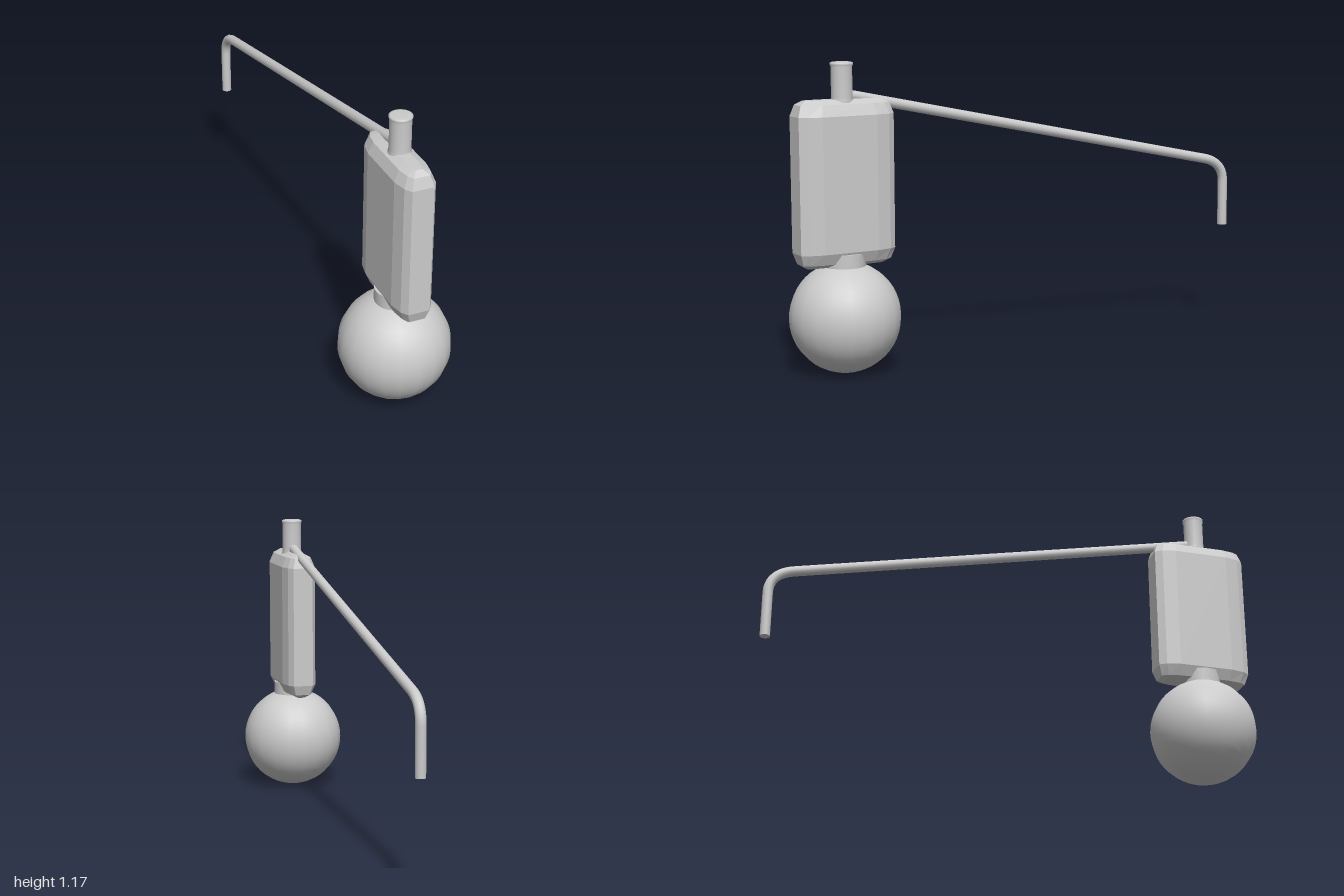
import * as THREE from 'three';

const Z = 0.788; // z of the bulb, body and top tube axis

// Faceted case: 12-sided outlines stacked in layers, closed at both ends
function bodyGeometry() {
  const quarter = [[0.072, 0.11], [0.06, 0.165], [0.042, 0.192]];
  const mirror = (sx, sz) => quarter.map(([x, z]) => [x * sx, z * sz]);
  const outline = [
    ...mirror(1, 1), ...mirror(-1, 1).reverse(),
    ...mirror(-1, -1), ...mirror(1, -1).reverse(),
  ];
  const half = [[0.313, 0.3, 0.8], [0.297, 0.74, 0.93], [0.255, 1, 1]];
  const layers = [...half.map(([y, a, b]) => [-y, a, b]), ...half.slice().reverse()];
  const n = outline.length, pos = [], idx = [];
  for (const [y, sx, sz] of layers) for (const [x, z] of outline) pos.push(x * sx, y, z * sz);
  for (let l = 0; l < layers.length - 1; l++) {
    for (let i = 0; i < n; i++) {
      const a = l * n + i, b = l * n + (i + 1) % n;
      idx.push(a, b, a + n, b, b + n, a + n);
    }
  }
  const top = (layers.length - 1) * n;
  for (let i = 1; i < n - 1; i++) {
    idx.push(0, i + 1, i);
    idx.push(top, top + i, top + i + 1);
  }
  // The outline runs from +x towards +z, so turn every face outward
  for (let i = 0; i < idx.length; i += 3) [idx[i + 1], idx[i + 2]] = [idx[i + 2], idx[i + 1]];
  const g = new THREE.BufferGeometry();
  g.setAttribute('position', new THREE.Float32BufferAttribute(pos, 3));
  g.setIndex(idx);
  const flat = g.toNonIndexed();
  flat.computeVertexNormals();
  return flat;
}

export function createModel() {
  const group = new THREE.Group();
  const smooth = new THREE.MeshStandardMaterial({ color: 0xcccccc });
  const faceted = new THREE.MeshStandardMaterial({ color: 0xcccccc, flatShading: true });
  const add = (name, geometry, material, y = 0, z = Z) => {
    const mesh = new THREE.Mesh(geometry, material);
    mesh.name = name;
    mesh.position.set(0, y, z);
    group.add(mesh);
    return mesh;
  };

  // Round bulb and the collar joining it to the case
  add('bulb', new THREE.SphereGeometry(0.212, 20, 24), smooth, 0.212);
  add('collar', new THREE.CylinderGeometry(0.08, 0.08, 0.08, 24), smooth, 0.42);

  // Flat bevelled case
  add('body', bodyGeometry(), faceted, 0.723);

  // Short tube with a small rim at each end
  const profile = [[0, 1.02], [0.043, 1.02], [0.043, 1.03], [0.04, 1.042], [0.04, 1.155],
    [0.043, 1.163], [0.043, 1.17], [0.036, 1.173], [0, 1.173]];
  add('topTube', new THREE.LatheGeometry(profile.map(([r, y]) => new THREE.Vector2(r, y)), 24), smooth);

  // Long sloping rod, bent down at its far end
  const start = new THREE.Vector3(0, 1.055, Z);
  const bendStart = new THREE.Vector3(0, 0.706, -0.88);
  const corner = new THREE.Vector3(0, 0.686, -0.98);
  const bendEnd = new THREE.Vector3(0, 0.6, -0.98);
  const tip = new THREE.Vector3(0, 0.417, -0.98);
  const rod = (name, curve, segments) =>
    add(name, new THREE.TubeGeometry(curve, segments, 0.02, 12), smooth, 0, 0);
  rod('rodArm', new THREE.LineCurve3(start, bendStart), 1);
  rod('rodBend', new THREE.QuadraticBezierCurve3(bendStart, corner, bendEnd), 10);
  rod('rodTip', new THREE.LineCurve3(bendEnd, tip), 1);
  add('rodEnd', new THREE.CircleGeometry(0.02, 12), smooth, 0.417, -0.98).rotation.x = Math.PI / 2;

  return group;
}
